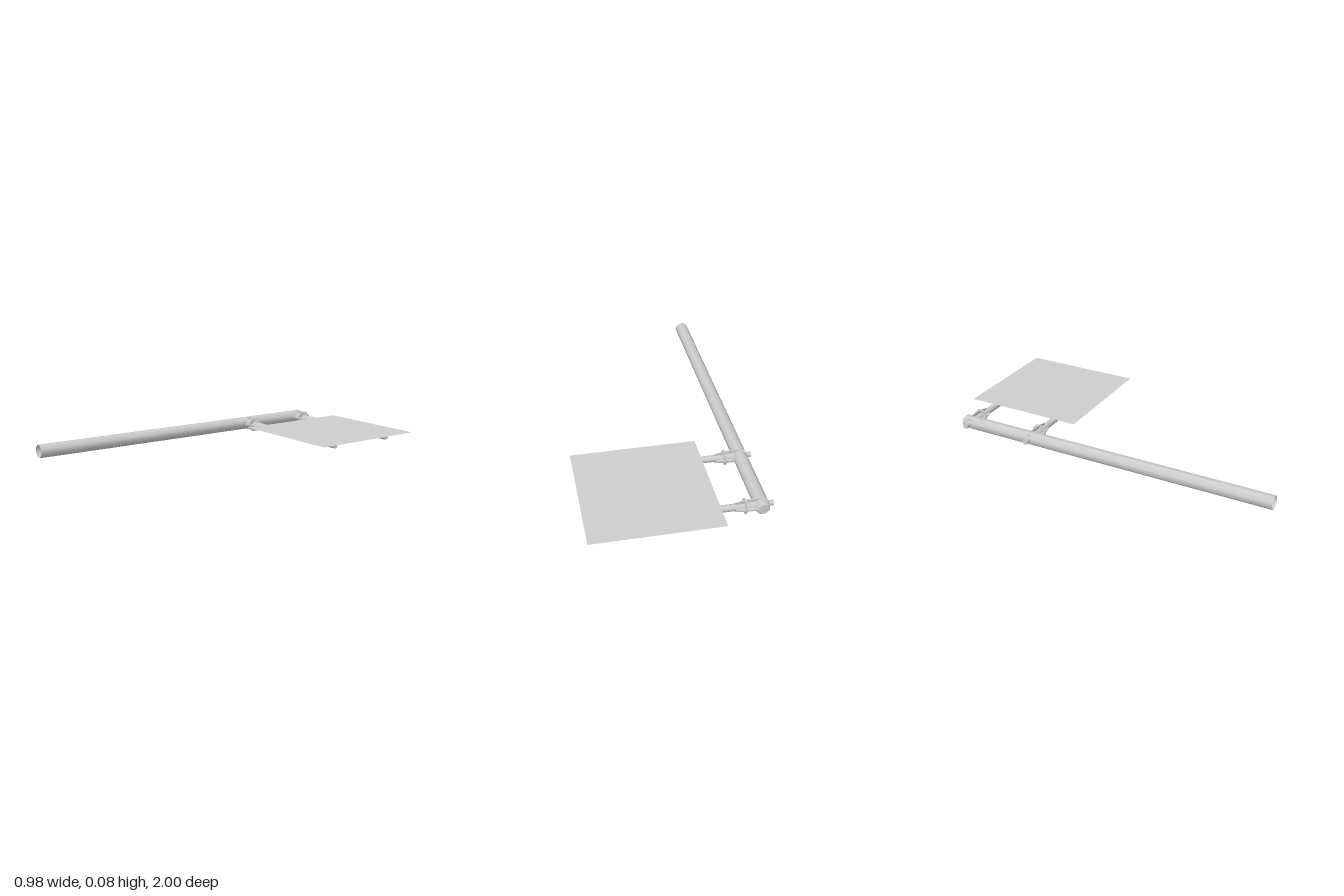
import * as THREE from 'three';

const steel = new THREE.MeshStandardMaterial({ color: 0xcccccc });
steel.name = 'galvanised steel';
const sheet = new THREE.MeshStandardMaterial({ color: 0xcccccc, side: THREE.DoubleSide });
sheet.name = 'sheet steel';

const AXIS_Y = 0.0435, POLE_X = -0.427;

function add(parent, name, geometry, material = steel) {
  const mesh = new THREE.Mesh(geometry, material);
  mesh.name = name;
  parent.add(mesh);
  return mesh;
}

// Round bar along x between two positions
function barX(x0, x1, r, sides = 8, open = false) {
  return new THREE.CylinderGeometry(r, r, x1 - x0, sides, 1, open)
    .rotateY(Math.PI / sides).rotateZ(-Math.PI / 2).translate((x0 + x1) / 2, 0, 0);
}

// Stiffening plate lying in the xy plane, through the arm axis
function ribGeometry() {
  const half = [[-0.425, 0.04], [-0.34, 0.04], [-0.287, 0.028]];
  const outline = [...half, ...half.map(([x, y]) => [x, -y]).reverse()];
  const shape = new THREE.Shape(outline.map(([x, y]) => new THREE.Vector2(x, y)));
  return new THREE.ExtrudeGeometry(shape, { depth: 0.006, bevelEnabled: false }).translate(0, 0, -0.003);
}

// One arm with its socket, flange, ribs and end bolt
function createArm(z) {
  const arm = new THREE.Group();
  arm.name = 'arm';
  arm.position.set(0, AXIS_Y, z);
  add(arm, 'armTube', barX(-0.4, 0.417, 0.019, 12));
  add(arm, 'socket', barX(-0.425, -0.345, 0.024, 12));
  add(arm, 'endBolt', barX(-0.49, -0.42, 0.0155, 8));
  add(arm, 'innerPlug', barX(-0.454, -0.425, 0.032, 8));
  add(arm, 'flange', barX(-0.343, -0.337, 0.0435, 8));
  for (const angle of [0, Math.PI / 2]) {
    add(arm, 'rib', ribGeometry()).rotation.x = angle;
  }
  return arm;
}

export function createModel() {
  const model = new THREE.Group();
  model.name = 'signGantry';

  // Long pole, open at the foot and capped at the far end
  const pole = add(model, 'pole',
    new THREE.CylinderGeometry(0.0385, 0.0385, 1.885, 8, 1, true).rotateY(Math.PI / 8).rotateX(Math.PI / 2), sheet);
  pole.position.set(POLE_X, AXIS_Y, 0.0575);
  const rim = add(model, 'poleCapRim',
    new THREE.CylinderGeometry(0.0385, 0.03, 0.01, 8, 1, true).rotateY(Math.PI / 8).rotateX(Math.PI / 2));
  rim.position.set(POLE_X, AXIS_Y, -0.89);
  const cap = add(model, 'poleCap', new THREE.CircleGeometry(0.03, 8).rotateZ(Math.PI / 8).rotateY(Math.PI));
  cap.position.set(POLE_X, AXIS_Y, -0.895);

  // Two side arms
  for (const z of [-0.44, -0.85]) model.add(createArm(z));

  // Struts between the arms, behind the panel
  for (const x of [-0.03, 0.14, 0.31]) {
    const strut = add(model, 'strut', new THREE.CylinderGeometry(0.0135, 0.0135, 0.41, 8, 1, true).rotateX(Math.PI / 2));
    strut.position.set(x, 0.047, -0.645);
  }

  // Flat sign panel
  const panel = add(model, 'signPanel', new THREE.PlaneGeometry(0.697, 0.71).rotateX(-Math.PI / 2), sheet);
  panel.position.set(0.1385, 0.063, -0.645);

  return model;
}
